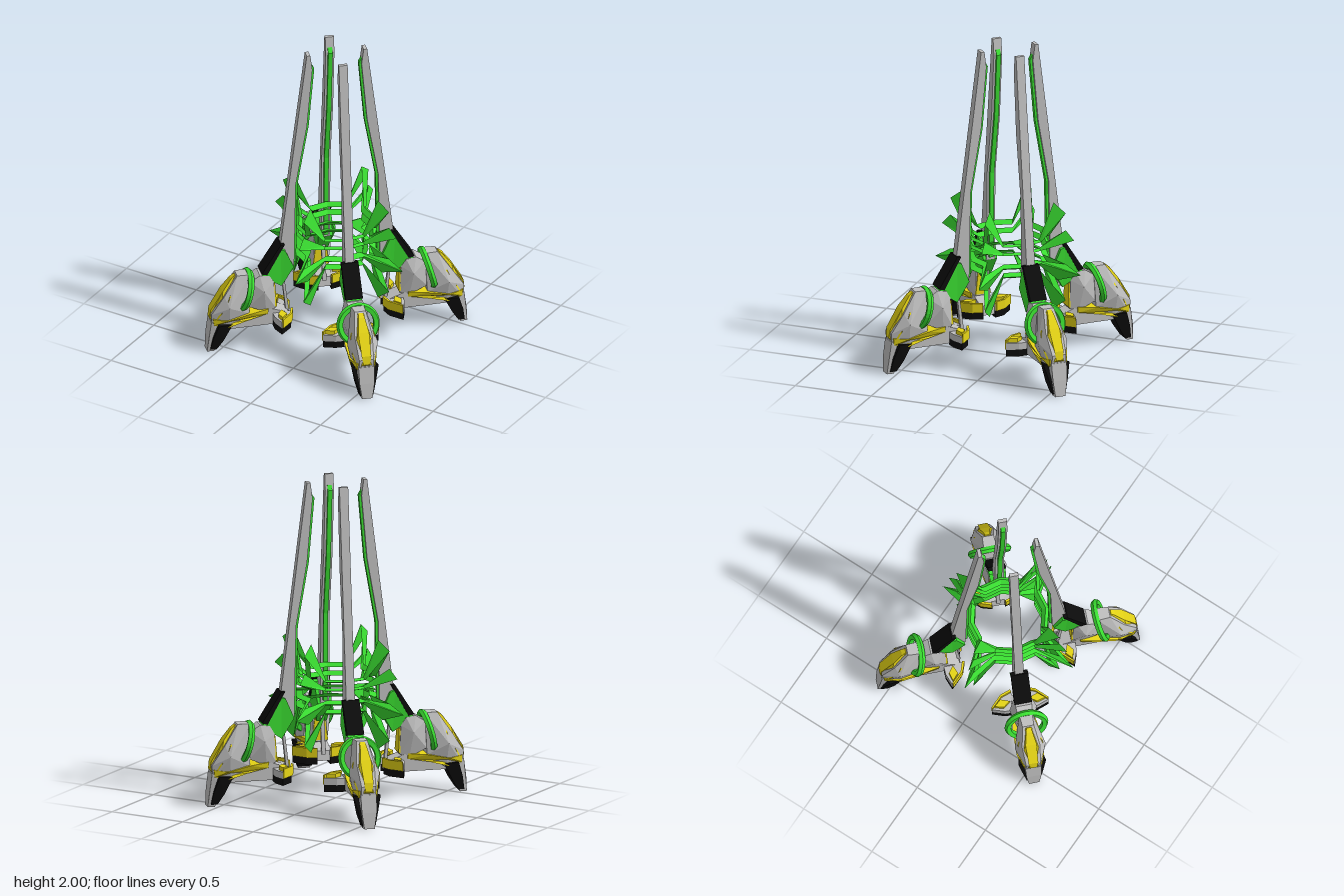
import * as THREE from 'three';

const mat = (name, color) => {
  const m = new THREE.MeshStandardMaterial({ color, flatShading: true, side: THREE.DoubleSide });
  m.name = name;
  return m;
};
const GREY = mat('steel grey', 0xc0c0c0);
const GREEN = mat('bright green', 0x3be032);
const YELLOW = mat('yellow', 0xe6d516);
const BLACK = mat('black', 0x0c0c0c);

function add(group, name, geometry, material) {
  const mesh = new THREE.Mesh(geometry, material);
  mesh.name = name;
  group.add(mesh);
  return mesh;
}

function fromTriangles(tris) {
  const g = new THREE.BufferGeometry();
  g.setAttribute('position', new THREE.Float32BufferAttribute(tris.flat(2), 3));
  g.computeVertexNormals();
  return g;
}

// Solid from a side profile of [radius, height, half width]; an optional hub point bulges both sides.
function slab(profile, hub) {
  let p = profile;
  const flat = p.map(([x, y]) => new THREE.Vector2(x, y));
  if (THREE.ShapeUtils.isClockWise(flat)) { p = [...p].reverse(); flat.reverse(); }
  const at = ([x, y, w], s) => [x, y, s * w];
  const tris = [];
  const side = (a, b, c) => tris.push([at(a, 1), at(b, 1), at(c, 1)], [at(c, -1), at(b, -1), at(a, -1)]);
  p.forEach((a, i) => {
    const b = p[(i + 1) % p.length];
    tris.push([at(a, 1), at(a, -1), at(b, -1)], [at(a, 1), at(b, -1), at(b, 1)]);
    if (hub) side(a, b, hub);
  });
  if (!hub) THREE.ShapeUtils.triangulateShape(flat, []).forEach(([a, b, c]) => side(p[a], p[b], p[c]));
  return fromTriangles(tris);
}

const evenSlab = (points, w) => slab(points.map(([x, y]) => [x, y, w]));

// Flat extrusion of an outline
function extrude(outline, depth) {
  const shape = new THREE.Shape(outline.map(([x, y]) => new THREE.Vector2(x, y)));
  return new THREE.ExtrudeGeometry(shape, { depth, bevelEnabled: false });
}

// One tower: x is the distance from the middle, z runs across
function createTower() {
  const g = new THREE.Group();

  // Tall spire with a green inner rail
  add(g, 'spire', evenSlab([[0.168, 2], [0.19, 2], [0.355, 0.69], [0.36, 0.58], [0.27, 0.53],
    [0.26, 1.1], [0.19, 1.5], [0.155, 1.9]], 0.0275), GREY);
  add(g, 'spireRail', evenSlab([[0.14, 1.9], [0.17, 1.95], [0.2, 1.5], [0.27, 1.1], [0.28, 0.55],
    [0.255, 0.55], [0.245, 1.1], [0.175, 1.5]], 0.014), GREEN);

  // Green shoulder narrowing downwards, with black back plate
  add(g, 'shoulder', slab([[0.275, 0.53, 0.045], [0.33, 0.655, 0.052], [0.36, 0.665, 0.052],
    [0.48, 0.49, 0.05], [0.35, 0.4, 0.032]]), GREEN);
  add(g, 'backPlate', evenSlab([[0.335, 0.7], [0.36, 0.7], [0.48, 0.51], [0.445, 0.5]], 0.054), BLACK);

  // Hip, neck, inner yellow panel and thin inner strut
  add(g, 'hip', slab([[0.4, 0.44, 0.04], [0.43, 0.49, 0.05], [0.49, 0.5, 0.05], [0.55, 0.46, 0.045],
    [0.56, 0.29, 0.05], [0.45, 0.24, 0.05], [0.39, 0.26, 0.045]], [0.47, 0.4, 0.085]), GREY);
  add(g, 'hipPanel', slab([[0.39, 0.42, 0.03], [0.402, 0.42, 0.03], [0.395, 0.27, 0.05], [0.383, 0.27, 0.05]]), YELLOW);
  add(g, 'innerStrut', evenSlab([[0.33, 0.46], [0.345, 0.46], [0.317, 0.2], [0.297, 0.2]], 0.012), GREY);
  add(g, 'neck', evenSlab([[0.52, 0.46], [0.62, 0.47], [0.62, 0.29], [0.52, 0.29]], 0.045), GREY);

  // Tilted flat-faced ring round the neck
  const ring = new THREE.LatheGeometry([[0.098, -0.014], [0.125, -0.02], [0.136, 0], [0.125, 0.02], [0.098, 0.014], [0.098, -0.014]]
    .map(([x, y]) => new THREE.Vector2(x, y)), 32);
  ring.rotateZ(Math.PI / 2 + 0.26);
  add(g, 'neckRing', ring, GREEN).position.set(0.575, 0.39, 0);

  // Cowl with a raised yellow canopy and yellow lower stripe
  add(g, 'cowl', slab([[0.55, 0.51, 0.04], [0.63, 0.51, 0.035], [0.715, 0.385, 0.055], [0.795, 0.26, 0.045],
    [0.79, 0.17, 0.045], [0.68, 0.16, 0.06], [0.56, 0.25, 0.06]], [0.69, 0.32, 0.096]), GREY);
  add(g, 'canopy', slab([[0.6, 0.47, 0.042], [0.64, 0.505, 0.014], [0.665, 0.485, 0.02], [0.72, 0.41, 0.034],
    [0.795, 0.285, 0.03], [0.803, 0.23, 0.02], [0.775, 0.2, 0.058], [0.74, 0.27, 0.076], [0.69, 0.37, 0.078]]), YELLOW);
  add(g, 'lowerStripe', slab([[0.44, 0.265, 0.062], [0.56, 0.255, 0.082], [0.7, 0.225, 0.086], [0.785, 0.235, 0.058],
    [0.78, 0.19, 0.056], [0.69, 0.175, 0.076], [0.56, 0.21, 0.072], [0.44, 0.23, 0.056]]), YELLOW);

  // Foot with black sole wrapping its inner edge
  add(g, 'foot', slab([[0.68, 0.2, 0.06], [0.795, 0.21, 0.05], [0.81, 0.1, 0.047], [0.818, 0, 0.032],
    [0.775, 0, 0.036], [0.73, 0.08, 0.055]]), GREY);
  add(g, 'sole', slab([[0.665, 0.19, 0.07], [0.755, 0.195, 0.086], [0.785, 0.1, 0.062], [0.8, 0.015, 0.042],
    [0.76, 0.015, 0.045], [0.72, 0.08, 0.06]]), BLACK);

  // Under-arm joining the hip, foot and swept side claws
  add(g, 'underArm', evenSlab([[0.31, 0.22], [0.45, 0.27], [0.7, 0.21], [0.7, 0.15], [0.43, 0.15], [0.3, 0.16]], 0.05), GREY);
  const claw = [[0.29, 0.04], [0.31, 0.105], [0.381, 0.175], [0.408, 0.1], [0.41, 0.04]];
  const inlay = [[0.356, 0.06], [0.335, 0.115], [0.373, 0.158], [0.388, 0.103]];
  const edge = [[0.28, 0.045], [0.302, 0.108], [0.374, 0.179], [0.38, 0.17], [0.316, 0.105], [0.294, 0.04]];
  for (const s of [1, -1]) {
    const layer = (name, outline, top, depth, material) => {
      const geo = extrude(outline.map(([x, t]) => [x, s * t]), depth).rotateX(Math.PI / 2);
      add(g, name, geo, material).position.y = top;
    };
    layer('clawPad', claw, 0.183, 0.043, BLACK);
    layer('claw', claw, 0.225, 0.042, GREY);
    layer('clawInlay', inlay, 0.25, 0.035, YELLOW);
    layer('clawInnerEdge', edge, 0.245, 0.06, YELLOW);
  }
  return g;
}

// Four-pointed star frame with a three-sided bar; tip gives the [radius, height] of its top, outer and inner edges
function starFrame(y, dir, tip) {
  const spread = (radii, angle, lift) => radii.map((r, i) => [r * Math.cos(angle), y + dir * lift[i], r * Math.sin(angle)]);
  const lift = [0.014, 0.002, -0.012];
  const sections = [];
  for (let k = 0; k < 4; k++) {
    const a = k * Math.PI / 2;
    sections.push(
      tip.map(([r, h]) => [r * Math.cos(a), h, r * Math.sin(a)]),
      spread([0.235, 0.255, 0.21], a + 0.26, lift),
      spread([0.235, 0.255, 0.21], a + Math.PI / 4, lift),
      spread([0.235, 0.255, 0.21], a + Math.PI / 2 - 0.26, lift));
  }
  const tris = [];
  sections.forEach((s, i) => {
    const n = sections[(i + 1) % sections.length];
    for (let j = 0; j < 3; j++) {
      const k = (j + 1) % 3;
      tris.push([s[j], s[k], n[k]], [s[j], n[k], n[j]]);
    }
  });
  return fromTriangles(tris);
}

export function createModel() {
  const model = new THREE.Group();
  model.name = 'fourSpireStation';

  // Towers on the diagonals
  for (let k = 0; k < 4; k++) {
    const tower = createTower();
    tower.name = 'tower';
    tower.rotation.y = Math.PI / 4 + k * Math.PI / 2;
    model.add(tower);
  }

  // Stacked star frames, upper pair pointing up and lower pair down
  const frames = [
    [0.785, 1, [[0.3, 1.03], [0.38, 0.97], [0.315, 0.92]]],
    [0.73, 1, [[0.38, 0.86], [0.435, 0.8], [0.34, 0.79]]],
    [0.65, -1, [[0.33, 0.53], [0.48, 0.58], [0.38, 0.64]]],
    [0.595, -1, [[0.3, 0.345], [0.38, 0.405], [0.315, 0.455]]],
  ];
  for (const [y, dir, tip] of frames) add(model, 'starFrame', starFrame(y, dir, tip), GREEN);
  return model;
}
